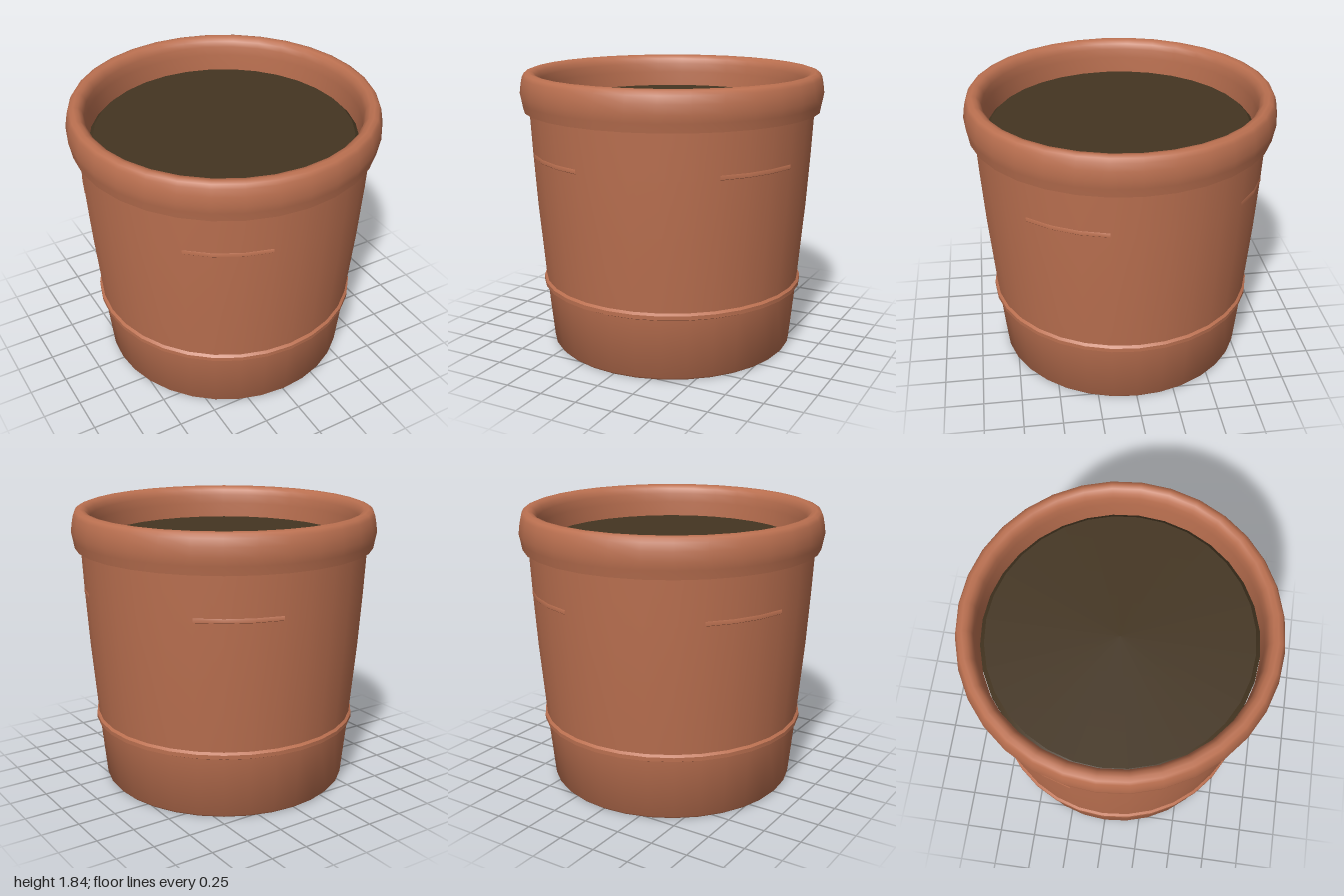
import * as THREE from 'three';
import { toCreasedNormals } from 'three/addons/utils/BufferGeometryUtils.js';

const SIDES = 32;
const STEP = (Math.PI * 2) / SIDES;

export function createModel() {
  const pot = new THREE.Group();
  pot.name = 'plantPot';

  const terracotta = new THREE.MeshStandardMaterial({ color: 0xbb7050 });
  terracotta.name = 'terracotta';
  const earth = new THREE.MeshStandardMaterial({ color: 0x443521 });
  earth.name = 'darkSoil';

  // Turned part from [radius, height] points, listed upward along the outside
  function turned(name, points, material, crease = 0.7, start = 0, sides = SIDES) {
    const profile = points.map(([r, y]) => new THREE.Vector2(r, y));
    const lathe = new THREE.LatheGeometry(profile, sides, start * STEP, sides * STEP);
    const mesh = new THREE.Mesh(toCreasedNormals(lathe, crease), material);
    mesh.name = name;
    pot.add(mesh);
  }

  // Closed base and tapered outer wall, running up inside the rim
  turned('body', [
    [0, 0], [0.805, 0], [0.818, 0.015], [0.861, 0.45],
    [0.903, 0.95], [0.925, 1.3], [0.94, 1.6], [0.948, 1.78],
  ], terracotta);

  // Raised bead around the lower wall, with a sloping top
  turned('lowerBead', [
    [0.85, 0.41], [0.878, 0.424], [0.878, 0.45], [0.858, 0.467],
  ], terracotta);

  // Four short, faint throwing marks on the upper wall
  for (let i = 0; i < 4; i++) {
    turned('throwingMark', [
      [0.922, 1.296], [0.928, 1.302], [0.928, 1.325], [0.924, 1.332],
    ], terracotta, 0.7, -4 + i * 8, 3);
  }

  // Heavy rolled rim, open below and continuing down the inside past the soil
  turned('rim', [
    [0.978, 1.594], [0.988, 1.65], [0.998, 1.7], [0.99, 1.76],
    [0.98, 1.808], [0.966, 1.832], [0.94, 1.842], [0.912, 1.836],
    [0.89, 1.815], [0.878, 1.78], [0.872, 1.72], [0.866, 1.56],
  ], terracotta, 1.2);

  // Soil plug with a bevelled edge
  turned('soil', [
    [0.862, 1.55], [0.862, 1.6], [0.835, 1.626], [0, 1.63],
  ], earth);

  return pot;
}
